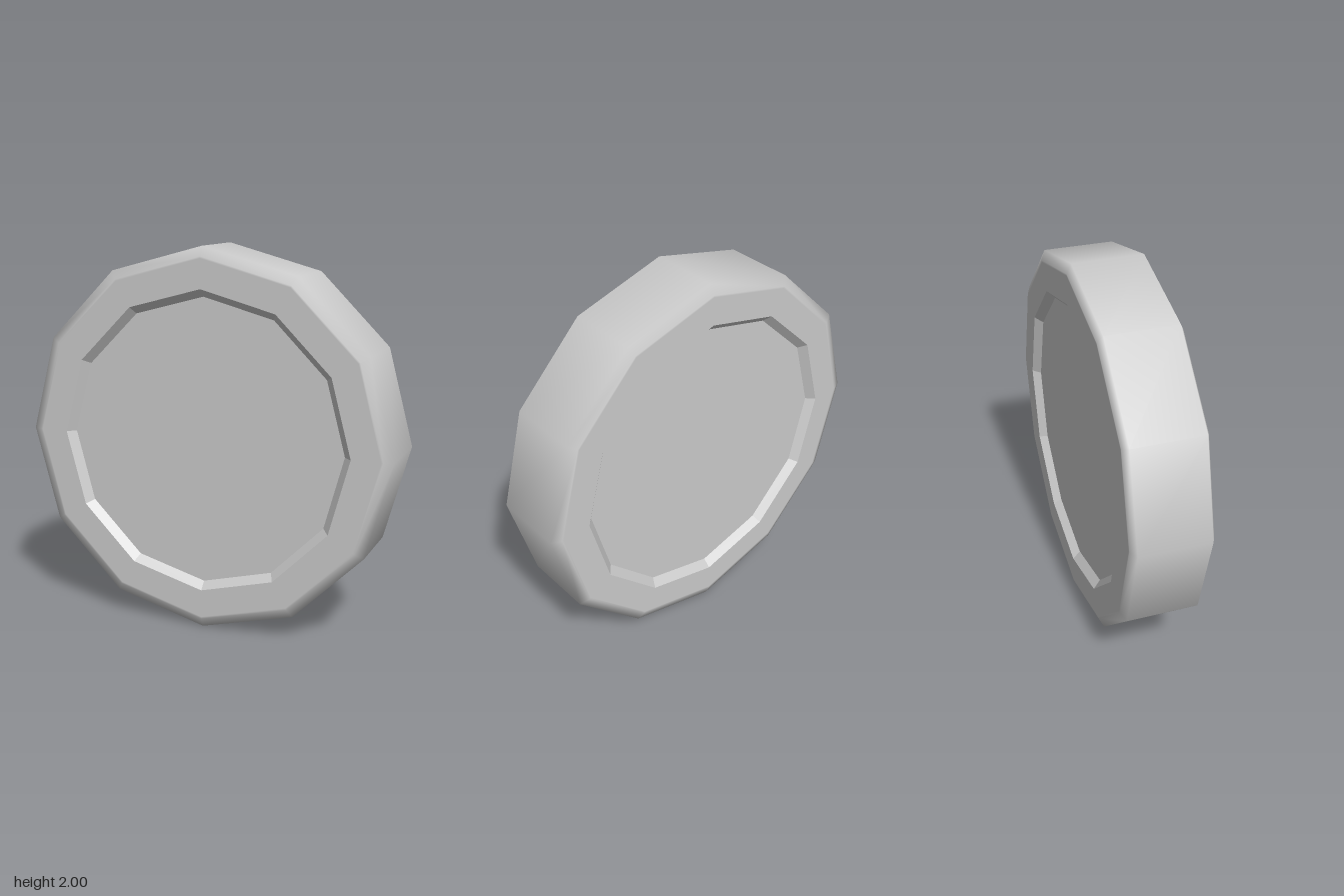
import * as THREE from 'three';

const SIDES = 12;
const HALF = 0.206; // half thickness
const FLOOR = HALF - 0.04; // recessed floor height

// Turns a [radius, depth] profile into a twelve-sided ring facing +z
function turned(name, profile, flatShading) {
  const points = profile.map(([r, d]) => new THREE.Vector2(r, d));
  const geometry = new THREE.LatheGeometry(points, SIDES).rotateX(Math.PI / 2);
  const material = new THREE.MeshStandardMaterial({ color: 0xcccccc, flatShading });
  const mesh = new THREE.Mesh(geometry, material);
  mesh.name = name;
  mesh.position.y = 1;
  return mesh;
}

export function createModel() {
  const model = new THREE.Group();
  model.name = 'recessedDisc';

  // Smooth outer rim with bevelled edges; the loops at 0.94 keep the faces flat
  model.add(turned('rim', [
    [0.79, -HALF], [0.94, -HALF], [0.95, -HALF], [1, -0.183],
    [1, 0.183], [0.95, HALF], [0.94, HALF], [0.79, HALF],
  ], false));

  // Shallow dish with sloping faceted wall on each face
  const dish = [[0.79, HALF], [0.75, FLOOR], [0, FLOOR]];
  model.add(turned('frontRecess', dish, true));
  model.add(turned('backRecess', dish.map(([r, d]) => [r, -d]).reverse(), true));

  return model;
}
